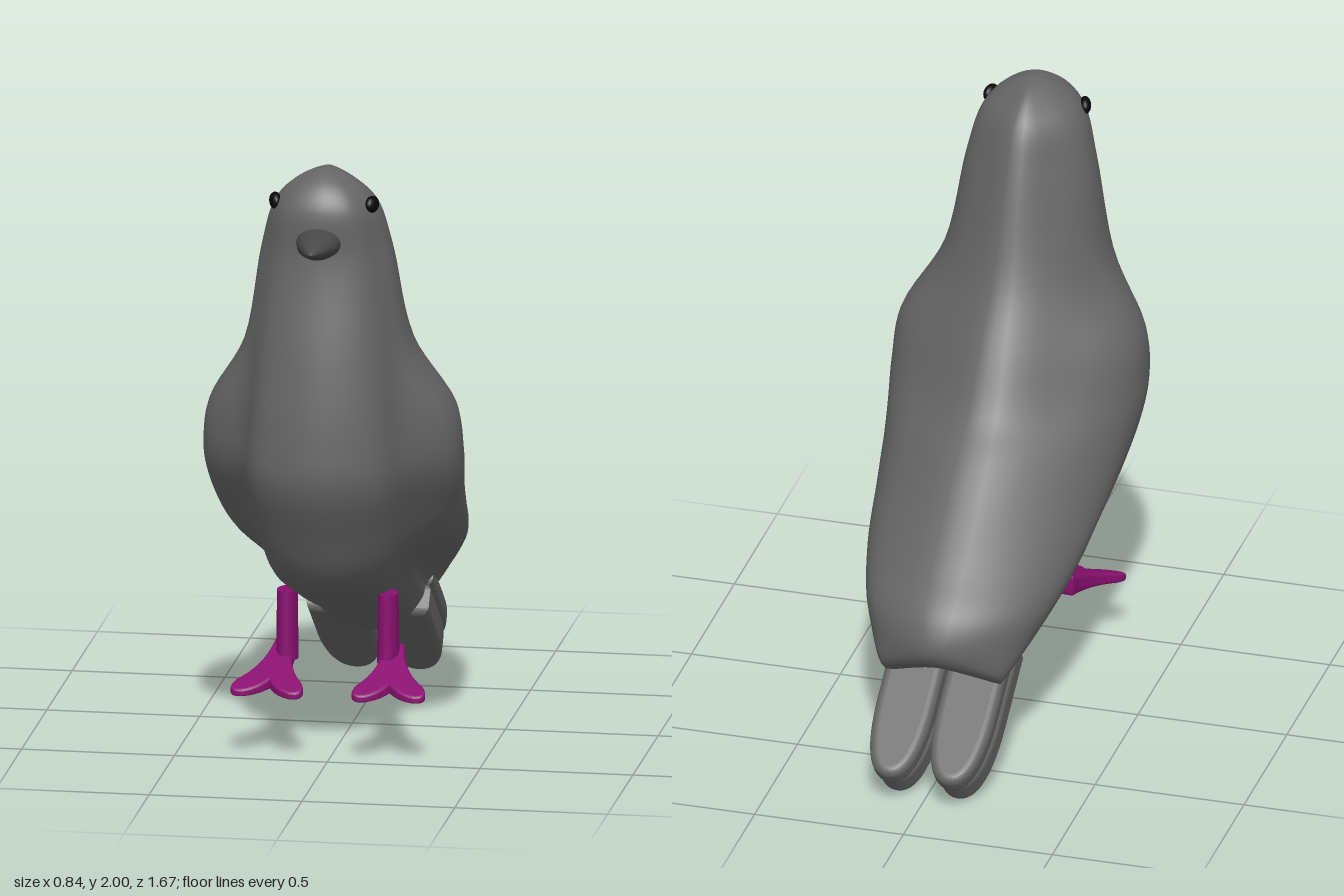
import * as THREE from 'three';

const V = (x, y, z) => new THREE.Vector3(x, y, z);
const paint = (color) => new THREE.MeshStandardMaterial({ color, side: THREE.DoubleSide });
const plumage = paint(0x666666), horn = paint(0x484848), black = paint(0x080808), skin = paint(0x8a1070);

function part(name, geometry, material, parent) {
  const mesh = new THREE.Mesh(geometry, material);
  mesh.name = name;
  parent.add(mesh);
  return mesh;
}

// One ring of the body: front z, y, back z, y, then half-widths at breast,
// wing edge, wing and shoulder. The breast narrows to a rounded keel.
function ring(fz, fy, bz, by, breast, edge, wing, shoulder) {
  const at = (t, x) => V(x, fy + (by - fy) * t, fz + (bz - fz) * t);
  const half = (side) => [
    at(0.08, side * 0.7 * breast),
    at(0.25, side * breast),
    at(0.385, side * edge),
    at(0.6, side * wing),
    at(0.82, side * shoulder),
  ];
  return [at(0, 0), ...half(1), at(1, 0), ...half(-1).reverse()];
}
const pole = (z, y) => ring(z, y, z, y, 0, 0, 0, 0);

// Smooth loft from crown to rump: splines run down the rings, then around each.
function bodyGeometry(rows = 84, around = 64) {
  const rings = [
    pole(0.52, 2.0),
    ring(0.58, 1.99, 0.45, 1.985, 0.035, 0.045, 0.04, 0.025),
    ring(0.64, 1.95, 0.39, 1.95, 0.1, 0.11, 0.1, 0.06),
    ring(0.68, 1.88, 0.335, 1.89, 0.15, 0.165, 0.16, 0.1),
    ring(0.685, 1.72, 0.27, 1.75, 0.185, 0.21, 0.2, 0.12),
    ring(0.75, 1.39, 0.14, 1.42, 0.23, 0.27, 0.265, 0.18),
    ring(0.785, 1.13, 0.01, 1.22, 0.265, 0.385, 0.39, 0.23),
    ring(0.785, 0.98, -0.1, 1.06, 0.28, 0.41, 0.4, 0.25),
    ring(0.705, 0.8, -0.2, 0.97, 0.265, 0.395, 0.39, 0.27),
    ring(0.59, 0.615, -0.32, 0.86, 0.235, 0.34, 0.38, 0.28),
    ring(0.3, 0.47, -0.5, 0.7, 0.195, 0.23, 0.345, 0.275),
    ring(-0.05, 0.345, -0.62, 0.585, 0.18, 0.19, 0.285, 0.235),
    ring(-0.4, 0.215, -0.655, 0.48, 0.165, 0.175, 0.205, 0.13),
    ring(-0.41, 0.23, -0.61, 0.412, 0.15, 0.16, 0.17, 0.1),
    pole(-0.47, 0.39),
  ];
  const columns = rings[0].map((_, j) => new THREE.CatmullRomCurve3(rings.map((r) => r[j])));
  const positions = [], index = [];
  for (let i = 0; i <= rows; i++) {
    const outline = new THREE.CatmullRomCurve3(columns.map((c) => c.getPoint(i / rows)), true);
    for (let j = 0; j < around; j++) {
      positions.push(...outline.getPoint(j / around).toArray());
      if (i === rows) continue;
      const a = i * around + j, b = i * around + ((j + 1) % around);
      index.push(a, a + around, b, b, a + around, b + around);
    }
  }
  const g = new THREE.BufferGeometry();
  g.setAttribute('position', new THREE.Float32BufferAttribute(positions, 3));
  g.setIndex(index);
  g.computeVertexNormals();
  return g;
}

// Round-ended tail feather, tip at the origin, running along +y
function featherGeometry(thickness, length = 0.5) {
  const bevel = 0.028, depth = thickness - 2 * bevel;
  const s = new THREE.Shape();
  s.moveTo(0.07, length);
  s.lineTo(-0.07, length);
  s.lineTo(-0.07, 0.28);
  s.bezierCurveTo(-0.07, 0.14, -0.05, bevel, 0, bevel);
  s.bezierCurveTo(0.05, bevel, 0.07, 0.14, 0.07, 0.28);
  const g = new THREE.ExtrudeGeometry(s, {
    depth, bevelThickness: bevel, bevelSize: bevel, bevelSegments: 6, curveSegments: 16,
  });
  return g.translate(0, 0, -depth / 2);
}

// Forked foot, thick at the heel and thin at the toes, sloping down forward
function footGeometry() {
  const s = new THREE.Shape();
  s.moveTo(-0.025, 0);
  s.lineTo(0.025, 0);
  s.quadraticCurveTo(0.03, 0.13, 0.1, 0.21);
  s.quadraticCurveTo(0.125, 0.26, 0.08, 0.255);
  s.quadraticCurveTo(0.03, 0.24, 0, 0.18);
  s.quadraticCurveTo(-0.03, 0.24, -0.08, 0.255);
  s.quadraticCurveTo(-0.125, 0.26, -0.1, 0.21);
  s.quadraticCurveTo(-0.03, 0.13, -0.025, 0);
  const g = new THREE.ExtrudeGeometry(s, {
    depth: 0.03, bevelThickness: 0.015, bevelSize: 0.01, bevelSegments: 4, curveSegments: 10,
  });
  g.translate(0, 0, -0.015).rotateX(Math.PI / 2);
  const p = g.attributes.position;
  for (let i = 0; i < p.count; i++) {
    const z = p.getZ(i);
    p.setY(i, p.getY(i) * (1.25 - 3.2 * z) - 0.3 * z);
  }
  g.computeVertexNormals();
  return g;
}

// Rounded cone pointing along +z
function beakGeometry() {
  const profile = [[0, -0.03], [0.06, -0.03], [0.07, 0], [0.06, 0.05], [0.035, 0.11], [0.012, 0.155], [0, 0.165]];
  const points = profile.map(([x, y]) => new THREE.Vector2(x, y));
  return new THREE.LatheGeometry(points, 28).rotateX(Math.PI / 2);
}

export function createModel() {
  const bird = new THREE.Group();
  bird.name = 'bird';
  part('body', bodyGeometry(), plumage, bird);

  const beak = part('beak', beakGeometry(), horn, bird);
  beak.scale.set(1.05, 0.75, 1);
  beak.position.set(0, 1.78, 0.67);

  for (const side of [1, -1]) {
    const label = side > 0 ? 'left' : 'right';

    const eye = part(label + 'Eye', new THREE.SphereGeometry(0.033, 20, 14), black, bird);
    eye.scale.set(0.6, 0.85, 1.05);
    eye.position.set(side * 0.158, 1.89, 0.57);
    eye.rotation.y = -side * 0.3;

    // Two stacked tail feathers
    const feathers = [['UpperTailFeather', 0.08, 0.098, -0.822], ['LowerTailFeather', 0.11, 0.036, -0.745]];
    for (const [name, thickness, y, z] of feathers) {
      const feather = part(label + name, featherGeometry(thickness), plumage, bird);
      feather.position.set(side * 0.102, y, z);
      feather.rotation.x = 0.949;
    }

    // Leg and foot
    const leg = new THREE.Group();
    leg.name = label + 'Leg';
    leg.position.set(side * 0.165, 0, 0.29);
    bird.add(leg);
    const shank = part('shank', new THREE.CylinderGeometry(0.033, 0.036, 0.23, 20), skin, leg);
    shank.scale.z = 1.45;
    shank.position.y = 0.405;
    const foot = part('foot', footGeometry(), skin, leg);
    foot.position.set(side * 0.015, 0.302, -0.035);
    foot.rotation.y = side * 0.08;
  }
  return bird;
}
